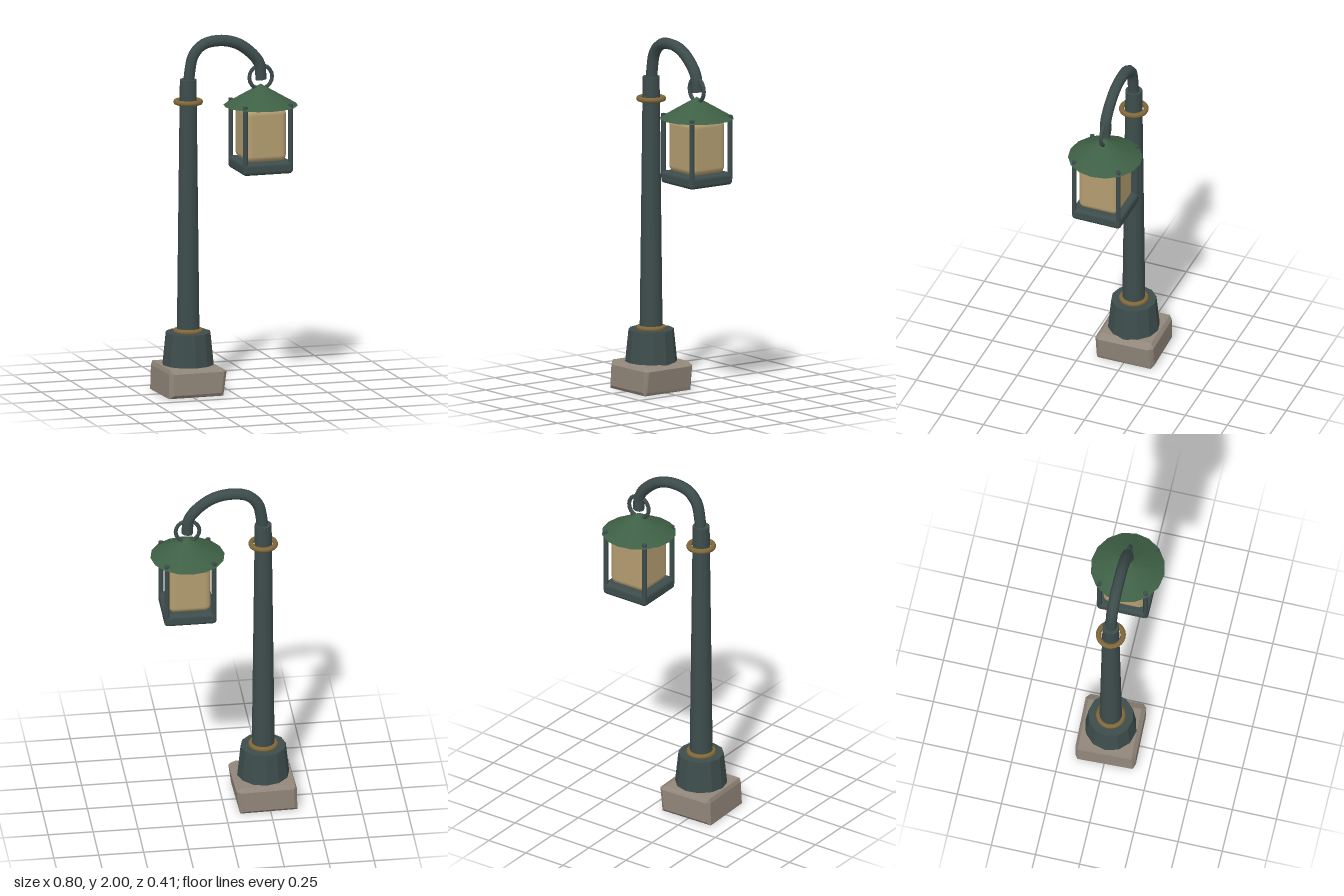
import * as THREE from 'three';
import { RoundedBoxGeometry } from 'three/addons/geometries/RoundedBoxGeometry.js';
import { ConvexGeometry } from 'three/addons/geometries/ConvexGeometry.js';

const POLE_X = -0.228;
const LAMP_X = 0.193;

const mat = (color, opts = {}) => {
  const m = new THREE.MeshStandardMaterial(opts);
  m.color.set(color);
  return m;
};

function add(parent, name, geometry, material, x = 0, y = 0, z = 0) {
  const mesh = new THREE.Mesh(geometry, material);
  mesh.name = name;
  mesh.position.set(x, y, z);
  parent.add(mesh);
  return mesh;
}

export function createModel() {
  const group = new THREE.Group();
  group.name = 'streetLamp';

  const iron = mat(0x3d4d4c);
  const ironFlat = mat(0x3d4d4c, { flatShading: true });
  const brass = mat(0x80683a);
  const roofGreen = mat(0x3e6045);
  const glow = mat(0xb39d70);
  const stone = mat(0x91867a, { flatShading: true });

  // Rough-cut stone block: lower, widest and upper outlines as [x, z]
  const top = [[-0.387, -0.15], [-0.1, -0.155], [-0.092, 0.142], [-0.38, 0.152]];
  const bottom = [[-0.4, -0.15], [-0.08, -0.16], [-0.075, 0.155], [-0.39, 0.16]];
  const upper = [[-0.396, -0.148], [-0.378, -0.166], [-0.085, -0.175], [-0.06, -0.152],
    [-0.052, 0.145], [-0.072, 0.165], [-0.363, 0.173], [-0.388, 0.152]];
  const lower = upper.map(([x, z]) => [x > POLE_X ? x - 0.016 : x - 0.003, z]);
  const rings = [[bottom, 0], [lower, 0.018], [upper, 0.137], [top, 0.16]];
  const points = rings.flatMap(([ring, y]) => ring.map(([x, z]) => new THREE.Vector3(x, y, z)));
  add(group, 'stoneBase', new ConvexGeometry(points), stone);

  // Pedestal and tapering pole
  add(group, 'pedestal', new THREE.CylinderGeometry(0.126, 0.145, 0.185, 12), ironFlat, POLE_X, 0.2475);
  add(group, 'pole', new THREE.CylinderGeometry(0.047, 0.064, 1.44, 12), iron, POLE_X, 1.04);

  // Brass rings around the pole
  for (const [name, y] of [['lowerRing', 0.347], ['upperRing', 1.635]]) {
    const ring = add(group, name, new THREE.TorusGeometry(0.068, 0.015, 8, 24), brass, POLE_X, y);
    ring.rotation.x = Math.PI / 2;
  }

  // Curved arm with capped end
  const path = new THREE.CatmullRomCurve3([
    [-0.226, 1.72], [-0.219, 1.8], [-0.197, 1.895], [-0.14, 1.952], [-0.045, 1.968],
    [0.05, 1.948], [0.13, 1.894], [0.185, 1.825], [0.195, 1.735],
  ].map(([x, y]) => new THREE.Vector3(x, y, 0)));
  add(group, 'arm', new THREE.TubeGeometry(path, 28, 0.032, 8), iron);
  const cap = add(group, 'armEnd', new THREE.CircleGeometry(0.032, 8), iron, 0.195, 1.735);
  cap.rotation.x = Math.PI / 2;

  // Hanging lantern
  const lantern = new THREE.Group();
  lantern.name = 'lantern';
  lantern.position.x = LAMP_X;
  group.add(lantern);

  add(lantern, 'hangingRing', new THREE.TorusGeometry(0.066, 0.011, 8, 20), iron, 0, 1.748);
  add(lantern, 'roof', new THREE.ConeGeometry(0.206, 0.12, 16), roofGreen, 0, 1.65);
  add(lantern, 'glass', new RoundedBoxGeometry(0.235, 0.3, 0.235, 3, 0.035), glow, 0, 1.438);
  add(lantern, 'tray', new RoundedBoxGeometry(0.29, 0.068, 0.29, 3, 0.02), iron, 0, 1.256);
  for (const sx of [-1, 1]) {
    for (const sz of [-1, 1]) {
      add(lantern, 'post', new THREE.CylinderGeometry(0.014, 0.014, 0.36, 8), iron, sx * 0.131, 1.432, sz * 0.131);
    }
  }

  return group;
}
